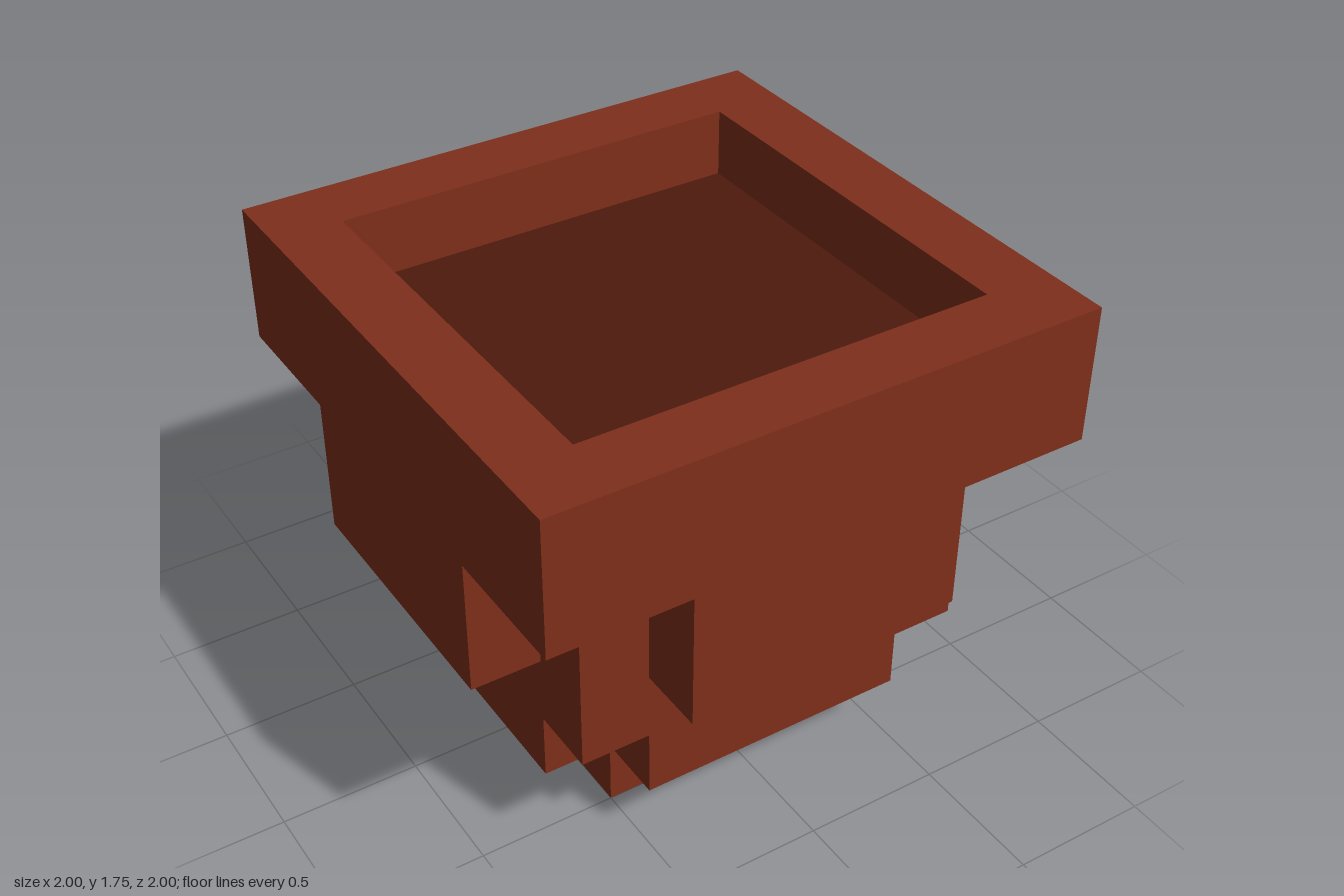
import * as THREE from 'three';

// Closed outline made by turning one corner's points through four quarters
function outline(corner, Type = THREE.Shape) {
  const points = [];
  for (let q = 0; q < 4; q++) {
    for (const [x, y] of corner) {
      const turned = [[x, y], [-y, x], [-x, -y], [y, -x]][q];
      points.push(new THREE.Vector2(...turned));
    }
  }
  return new Type(points);
}

export function createModel() {
  const group = new THREE.Group();
  group.name = 'plantPot';
  const clay = new THREE.MeshStandardMaterial({ color: 0x7f2f1b });
  const soil = new THREE.MeshStandardMaterial({ color: 0x4f1a0e });

  // Horizontal slab of the pot from its plan outline
  function addLayer(name, corner, bottom, height, hole) {
    const shape = outline(corner);
    if (hole) shape.holes.push(outline(hole, THREE.Path));
    const geometry = new THREE.ExtrudeGeometry(shape, { depth: height, bevelEnabled: false });
    geometry.rotateX(-Math.PI / 2);
    const mesh = new THREE.Mesh(geometry, clay);
    mesh.name = name;
    mesh.position.y = bottom;
    group.add(mesh);
  }

  // Stepped pot, bottom to top
  addLayer('foot', [[0.5, 0.5]], 0, 0.25);
  addLayer('lowerStep', [[0.75, 0.5], [0.5, 0.5], [0.5, 0.75]], 0.25, 0.25);
  addLayer('body', [[0.75, 0.75]], 0.5, 0.25);
  addLayer('sidePanels', [[1, 0.5], [0.75, 0.5], [0.75, 0.75], [0.5, 0.75], [0.5, 1]], 0.75, 0.5);
  addLayer('rim', [[1, 1]], 1.25, 0.5, [[0.75, 0.75]]);

  // Dark surface recessed inside the rim
  const fill = new THREE.Mesh(new THREE.PlaneGeometry(1.5, 1.5).rotateX(-Math.PI / 2), soil);
  fill.name = 'soil';
  fill.position.y = 1.5;
  group.add(fill);

  return group;
}
